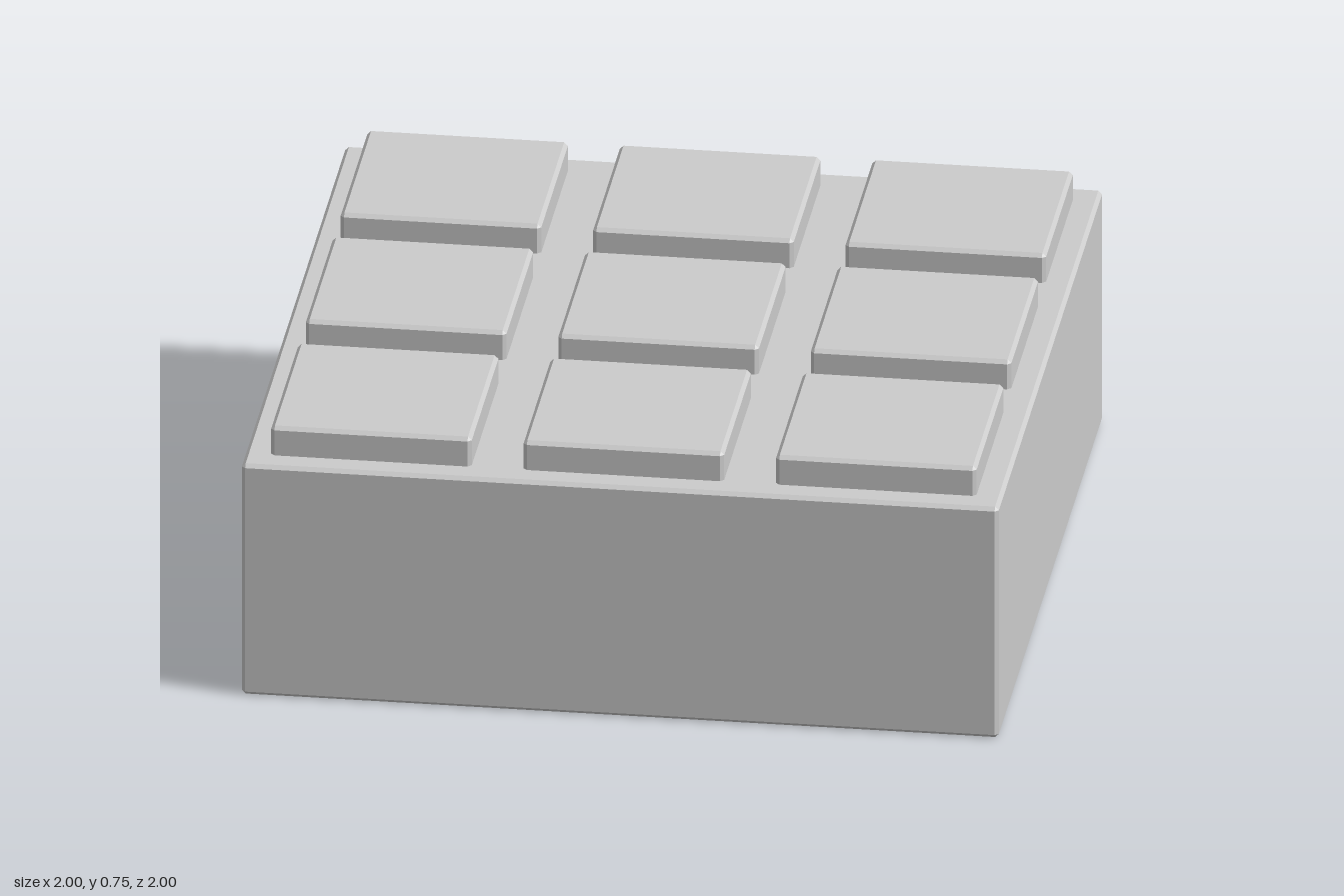
import * as THREE from 'three';

const HALF = 1, HEIGHT = 0.665, BEVEL = 0.01;
const PAD = 0.265, PITCH = 0.667, PAD_TOP = 0.747, POCKET_DEPTH = 0.08;

// Outline of a square with chamfered corners, counter-clockwise seen from above
function ring(half, y, c) {
  const points = [];
  for (let i = 0; i < 4; i++) {
    for (const [x, z] of [[half, half - c], [half, c - half]]) {
      const a = i * Math.PI / 2;
      points.push(new THREE.Vector3(
        x * Math.cos(a) + z * Math.sin(a), y, z * Math.cos(a) - x * Math.sin(a)));
    }
  }
  return points;
}

// Flat-shaded skin through [half, y, chamfer] sections; a section of half 0 closes an end
function loft(sections) {
  const rings = sections.map(([half, y, c = 0]) => ring(half, y, c));
  const positions = [];
  const addTriangle = (a, b, c) => {
    if (new THREE.Triangle(a, b, c).getArea() < 1e-9) return;
    for (const p of [a, b, c]) positions.push(p.x, p.y, p.z);
  };
  for (let s = 0; s < rings.length - 1; s++) {
    for (let i = 0; i < 8; i++) {
      const j = (i + 1) % 8;
      addTriangle(rings[s][i], rings[s][j], rings[s + 1][j]);
      addTriangle(rings[s][i], rings[s + 1][j], rings[s + 1][i]);
    }
  }
  const geometry = new THREE.BufferGeometry();
  geometry.setAttribute('position', new THREE.Float32BufferAttribute(positions, 3));
  geometry.computeVertexNormals();
  return geometry;
}

// Square path for the underside sheet and its openings
function square(path, x, y, half) {
  path.moveTo(x - half, y - half);
  path.lineTo(x + half, y - half);
  path.lineTo(x + half, y + half);
  path.lineTo(x - half, y + half);
  path.closePath();
  return path;
}

export function createModel() {
  const group = new THREE.Group();
  const material = new THREE.MeshStandardMaterial({ color: 0xcccccc, flatShading: true });
  const add = (name, geometry, x = 0, z = 0) => {
    const mesh = new THREE.Mesh(geometry, material);
    mesh.name = name;
    mesh.position.set(x, 0, z);
    group.add(mesh);
  };

  // Block with bevelled edges, open below
  add('blockBody', loft([
    [HALF - BEVEL, 0],
    [HALF, BEVEL, BEVEL],
    [HALF, HEIGHT - BEVEL, BEVEL],
    [HALF - BEVEL, HEIGHT],
    [0, HEIGHT],
  ]));

  const padGeometry = loft([
    [PAD, HEIGHT, BEVEL],
    [PAD, PAD_TOP - BEVEL, BEVEL],
    [PAD - BEVEL, PAD_TOP],
    [0, PAD_TOP],
  ]);
  // Running downwards turns the skin inwards
  const pocketGeometry = loft([[0, POCKET_DEPTH], [PAD, POCKET_DEPTH], [PAD, 0]]);

  // Raised pads on top, matching pockets underneath
  const sheet = square(new THREE.Shape(), 0, 0, HALF - BEVEL);
  for (const x of [-PITCH, 0, PITCH]) {
    for (const z of [-PITCH, 0, PITCH]) {
      add('topPad', padGeometry, x, z);
      add('undersidePocket', pocketGeometry, x, z);
      sheet.holes.push(square(new THREE.Path(), x, z, PAD));
    }
  }

  // Underside sheet with square openings
  add('underside', new THREE.ShapeGeometry(sheet).rotateX(Math.PI / 2));

  return group;
}
